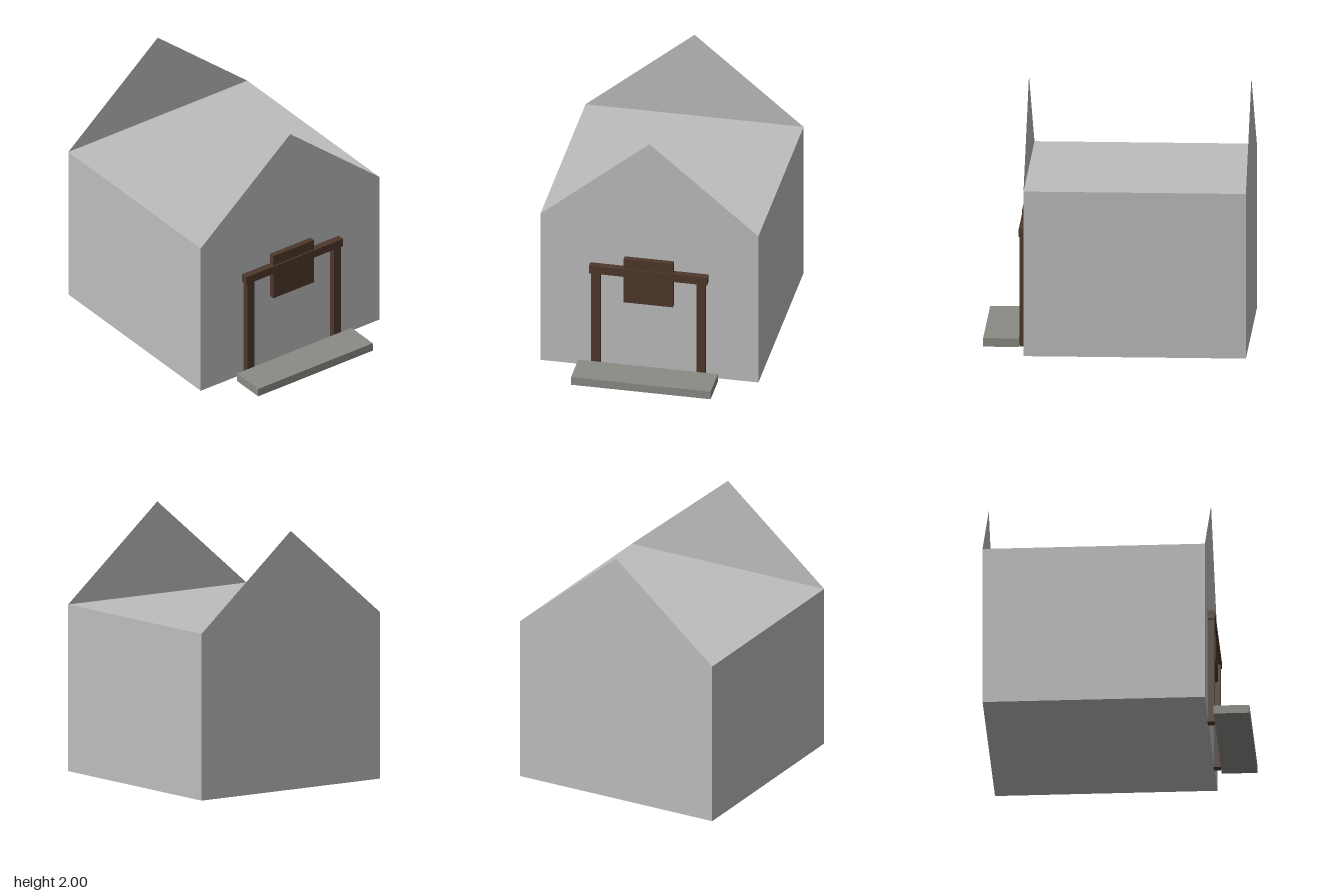
import * as THREE from 'three';

export function createModel() {
  const model = new THREE.Group();
  const plaster = new THREE.MeshStandardMaterial({ color: 0xbdbdbd, side: THREE.DoubleSide });
  plaster.name = 'pale grey plaster';
  const wood = new THREE.MeshStandardMaterial({ color: 0x4e382c });
  wood.name = 'dark brown wood';
  const stone = new THREE.MeshStandardMaterial({ color: 0x8a8b84 });
  stone.name = 'grey stone';

  // Box given by its lower and upper corners
  function box(name, material, [x0, y0, z0], [x1, y1, z1]) {
    const mesh = new THREE.Mesh(new THREE.BoxGeometry(x1 - x0, y1 - y0, z1 - z0), material);
    mesh.position.set((x0 + x1) / 2, (y0 + y1) / 2, (z0 + z1) / 2);
    mesh.name = name;
    model.add(mesh);
  }

  // House body with a flat top
  const halfWidth = 0.84, eaves = 1.295, front = 0.68, back = -1;
  box('houseBody', plaster, [-halfWidth, 0.02, back], [halfWidth, eaves, front]);

  // Thin triangular gables standing on the front and back walls
  const triangle = new THREE.Shape([
    new THREE.Vector2(-halfWidth, eaves),
    new THREE.Vector2(halfWidth, eaves),
    new THREE.Vector2(0, 2),
  ]);
  for (const [name, z, turn] of [['frontGable', front, 0], ['backGable', back, Math.PI]]) {
    const gable = new THREE.Mesh(new THREE.ShapeGeometry(triangle), plaster);
    gable.name = name;
    gable.position.z = z;
    gable.rotation.y = turn;
    model.add(gable);
  }

  // Door frame: two posts, a lintel and a hanging board
  for (const [name, x] of [['leftPost', 0.405], ['rightPost', -0.405]]) {
    box(name, wood, [x - 0.033, 0, 0.677], [x + 0.033, 0.853, 0.73]);
  }
  box('lintel', wood, [-0.455, 0.852, 0.672], [0.455, 0.917, 0.735]);
  box('signBoard', wood, [-0.19, 0.623, 0.677], [0.19, 1, 0.723]);

  // Doorstep
  box('doorstep', stone, [-0.538, 0.02, 0.73], [0.538, 0.086, 1]);

  return model;
}
